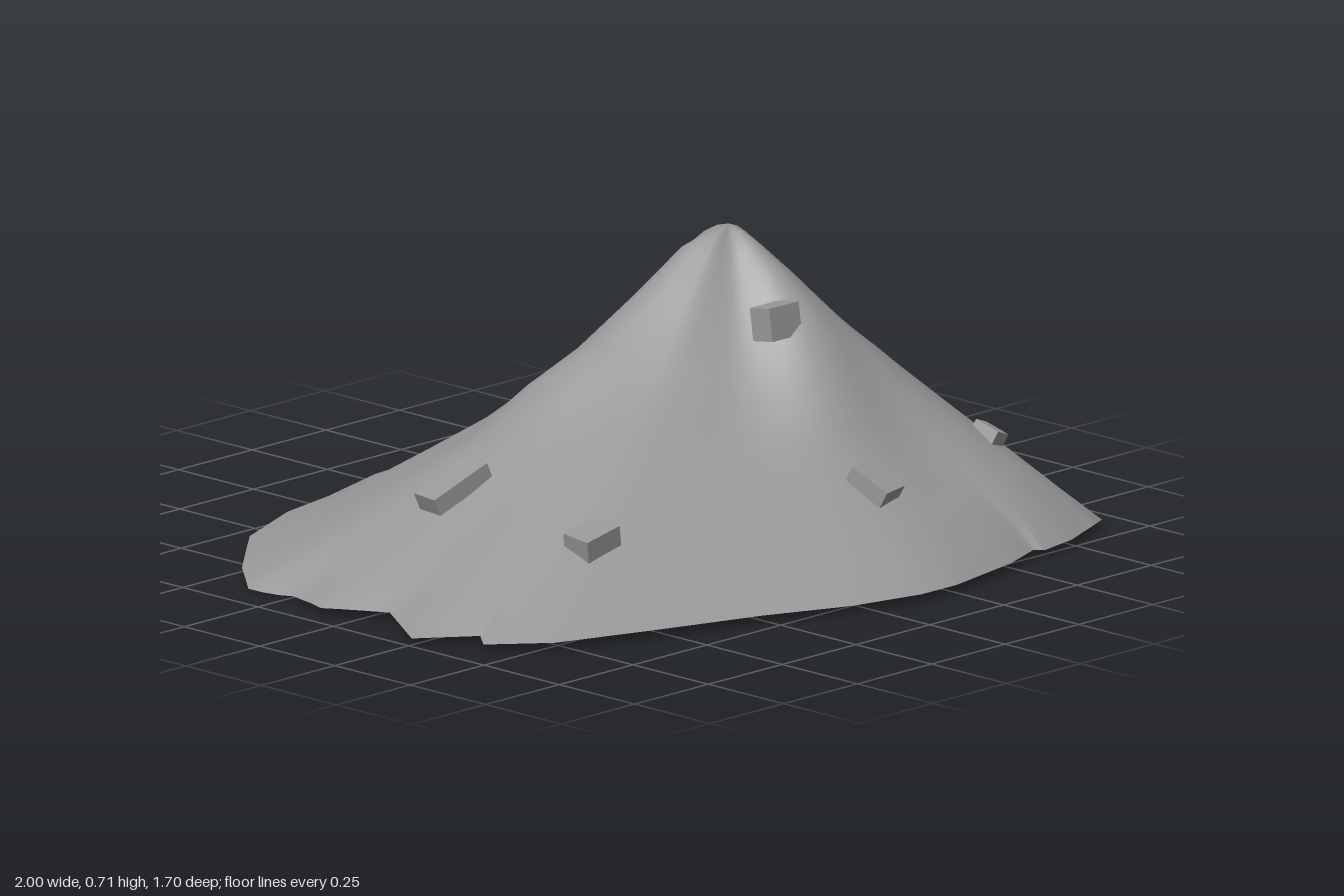
import * as THREE from 'three';

const PEAK = { x: 0.39, z: -0.05 };

// Ground outline seen from above (x, z), in order of rising angle
const OUTLINE = [
  [-1, .26], [-.87, .06], [-.95, -.09], [-.88, -.25], [-.91, -.37], [-.82, -.48],
  [-.61, -.66], [-.39, -.75], [-.22, -.78], [0, -.84], [.15, -.85], [.29, -.84],
  [.4, -.78], [.58, -.72], [.7, -.74], [.83, -.77], [.94, -.73], [1, -.6],
  [.99, -.35], [.97, -.15], [.94, -.1], [.95, .2], [.95, .5], [.91, .68],
  [.73, .755], [.62, .775], [.6, .755], [.48, .8], [.25, .845], [.13, .845],
  [-.06, .8], [-.27, .71], [-.54, .62], [-.79, .53], [-.92, .42], [-.87, .36],
];

// Slope profiles: heights at RINGS fractions from peak to outline, per direction in degrees
const RINGS = [.05, .1, .2, .32, .43, .55, .68, .82, .92, 1];
const SLOPES = [
  { a: 0, h: [.7, .68, .6, .5, .43, .37, .31, .24, .18, .02] },
  { a: 45, h: [.69, .65, .57, .48, .42, .35, .27, .18, .1, .02] },
  { a: 90, h: [.7, .68, .63, .55, .46, .32, .22, .14, .08, .02] },
  { a: 135, h: [.69, .65, .55, .44, .36, .28, .2, .12, .06, .02] },
  { a: 160, h: [.7, .66, .56, .44, .37, .29, .21, .13, .07, .02] },
  { a: 182, h: [.7, .68, .59, .49, .43, .3, .21, .13, .07, .02] },
  { a: 210, h: [.69, .66, .55, .43, .34, .25, .18, .1, .05, .02] },
  { a: 240, h: [.69, .65, .54, .42, .33, .25, .17, .1, .05, .02] },
  { a: 270, h: [.7, .68, .62, .5, .36, .28, .2, .12, .06, .02] },
  { a: 292, h: [.69, .66, .57, .44, .34, .3, .26, .2, .12, .02] },
  { a: 317, h: [.68, .63, .51, .38, .31, .27, .22, .14, .08, .02] },
];

// Blend the two neighbouring profiles around a direction
function slopeHeight(angle, ring) {
  const n = SLOPES.length;
  let i = n - 1;
  while (i > 0 && SLOPES[i].a > angle) i--;
  const from = SLOPES[i], to = SLOPES[(i + 1) % n];
  const end = i === n - 1 ? 360 : to.a;
  const f = THREE.MathUtils.smoothstep(angle, from.a, end);
  return THREE.MathUtils.lerp(from.h[ring], to.h[ring], f);
}

function hillGeometry() {
  // Split every outline edge in three, keeping its corners
  const rim = [];
  OUTLINE.forEach(([x, z], i) => {
    const [x2, z2] = OUTLINE[(i + 1) % OUTLINE.length];
    for (let k = 0; k < 3; k++) rim.push([x + (x2 - x) * k / 3, z + (z2 - z) * k / 3]);
  });
  const n = rim.length;
  // Averaged outline for the inner rings, so notches stay near the rim
  const REACH = 6;
  const soft = rim.map((_, i) => {
    let x = 0, z = 0, sum = 0;
    for (let k = -REACH; k <= REACH; k++) {
      const p = rim[(i + k + n) % n], w = REACH + 1 - Math.abs(k);
      x += p[0] * w;
      z += p[1] * w;
      sum += w;
    }
    return [x / sum, z / sum];
  });

  const pos = [PEAK.x, .71, PEAK.z], index = [];
  RINGS.forEach((t, r) => {
    for (let i = 0; i < n; i++) {
      const detail = t ** 8;
      const x = THREE.MathUtils.lerp(soft[i][0], rim[i][0], detail);
      const z = THREE.MathUtils.lerp(soft[i][1], rim[i][1], detail);
      const dx = x - PEAK.x, dz = z - PEAK.z;
      const angle = (THREE.MathUtils.radToDeg(Math.atan2(dz, dx)) + 360) % 360;
      let y = slopeHeight(angle, r);
      // The rim sags slightly at the back left
      if (t === 1) y -= .02 * Math.exp(-((x + .9) ** 2 + (z + .3) ** 2) / .02);
      pos.push(PEAK.x + dx * t, y, PEAK.z + dz * t);
    }
  });
  for (let i = 0; i < n; i++) {
    const j = (i + 1) % n;
    index.push(0, 1 + j, 1 + i);
    for (let r = 0; r < RINGS.length - 1; r++) {
      const a = 1 + r * n + i, b = 1 + r * n + j;
      index.push(a, b, b + n, a, b + n, a + n);
    }
  }
  const g = new THREE.BufferGeometry();
  g.setAttribute('position', new THREE.Float32BufferAttribute(pos, 3));
  g.setIndex(index);
  g.computeVertexNormals();
  return g;
}

export function createModel() {
  const group = new THREE.Group();
  const material = new THREE.MeshStandardMaterial({ color: 0x989898, side: THREE.DoubleSide });

  const hill = new THREE.Mesh(hillGeometry(), material);
  hill.name = 'hill';
  group.add(hill);
  hill.updateMatrixWorld();

  // Rock blocks half sunk in the slope: position, size, lift above ground, rotation
  const ray = new THREE.Raycaster();
  const down = new THREE.Vector3(0, -1, 0);
  const rocks = [
    { at: [.29, .205], size: [.1, .08, .065], lift: .02, rot: [-.15, 0, 0] },
    { at: [.25, .565], size: [.08, .07, .11], lift: 0, rot: [.5, .2, -.1] },
    { at: [-.49, .36], size: [.11, .06, .08], lift: .01, rot: [.1, 0, .2] },
    { at: [-.5, -.09], size: [.17, .05, .08], lift: .02, rot: [0, -.15, .4] },
    { at: [.74, .47], size: [.05, .04, .07], lift: .005, rot: [.3, .1, -.4] },
    { at: [.2, -.3], size: [.03, .04, .04], lift: -.01, rot: [-.8, .4, 0] },
    { at: [.53, -.29], size: [.05, .03, .05], lift: -.005, rot: [-.8, 0, 0] },
    { at: [.67, -.49], size: [.05, .02, .03], lift: -.005, rot: [-.3, 0, -.2] },
  ];
  for (const { at: [x, z], size, lift, rot } of rocks) {
    ray.set(new THREE.Vector3(x, 2, z), down);
    const rock = new THREE.Mesh(new THREE.BoxGeometry(...size), material);
    rock.name = 'rock';
    rock.position.set(x, ray.intersectObject(hill)[0].point.y + lift, z);
    rock.rotation.set(...rot);
    group.add(rock);
  }
  return group;
}
